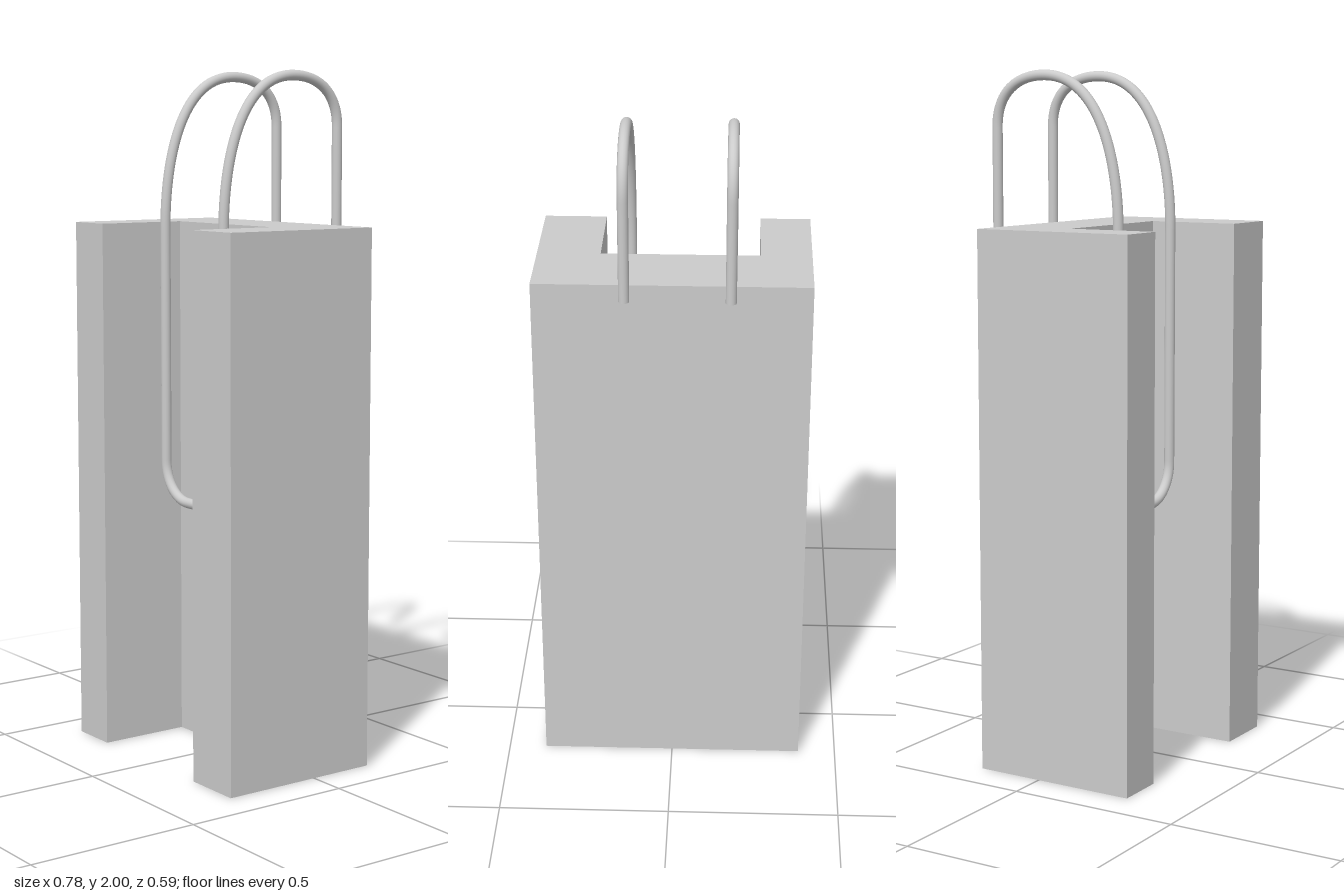
import * as THREE from 'three';

const v = (x, y, z) => new THREE.Vector3(x, y, z);

export function createModel() {
  const group = new THREE.Group();
  const material = new THREE.MeshStandardMaterial({ color: 0xcccccc });
  const add = (geometry, name) => {
    const mesh = new THREE.Mesh(geometry, material);
    mesh.name = name;
    group.add(mesh);
    return mesh;
  };

  // Block with a full-height channel in its front; outline drawn as (x, -z)
  const outline = [
    [-0.388, -0.294], [-0.243, -0.294], [-0.243, -0.02], [0.208, -0.02],
    [0.208, -0.294], [0.388, -0.294], [0.388, 0.196], [-0.388, 0.196],
  ];
  const shape = new THREE.Shape(outline.map(([x, y]) => new THREE.Vector2(x, y)));
  const block = new THREE.ExtrudeGeometry(shape, { depth: 1.56, bevelEnabled: false });
  block.rotateX(-Math.PI / 2);
  add(block, 'channelBlock');

  // Wire: two hooked legs joined by a rounded U at the bottom
  const radius = 0.015, front = 0.127, back = -0.281;
  const left = 0.126, right = -0.163;
  const bottom = 0.745, bend = 0.11, k = bend * 0.448;
  const tip = 1.55, shoulder = 1.55, crown = 1.985;

  // Half of the wire, from the hook tip to the start of the bottom bar;
  // dir points from the leg towards the middle
  const halfWire = (x, dir) => [
    [v(x, tip, back), v(x, 1.84, back)],
    [v(x, 1.84, back), v(x, 1.93, back), v(x, crown, -0.22), v(x, crown, -0.12)],
    [v(x, crown, -0.12), v(x, crown, 0.08), v(x, 1.72, front), v(x, shoulder, front)],
    [v(x, shoulder, front), v(x, bottom + bend, front)],
    [v(x, bottom + bend, front), v(x, bottom + k, front),
      v(x + dir * k, bottom, front), v(x + dir * bend, bottom, front)],
  ];
  const first = halfWire(right, 1);
  const second = halfWire(left, -1).reverse().map((points) => points.reverse());
  const bar = [v(right + bend, bottom, front), v(left - bend, bottom, front)];
  const path = new THREE.CurvePath();
  for (const p of [...first, bar, ...second]) {
    path.add(p.length === 2 ? new THREE.LineCurve3(...p) : new THREE.CubicBezierCurve3(...p));
  }
  add(new THREE.TubeGeometry(path, 320, radius, 16, false), 'hookWire');

  // Flat caps on the hook tips
  for (const x of [left, right]) {
    const cap = add(new THREE.CircleGeometry(radius, 16), 'hookTip');
    cap.rotation.x = Math.PI / 2;
    cap.position.set(x, tip, back);
  }
  return group;
}
